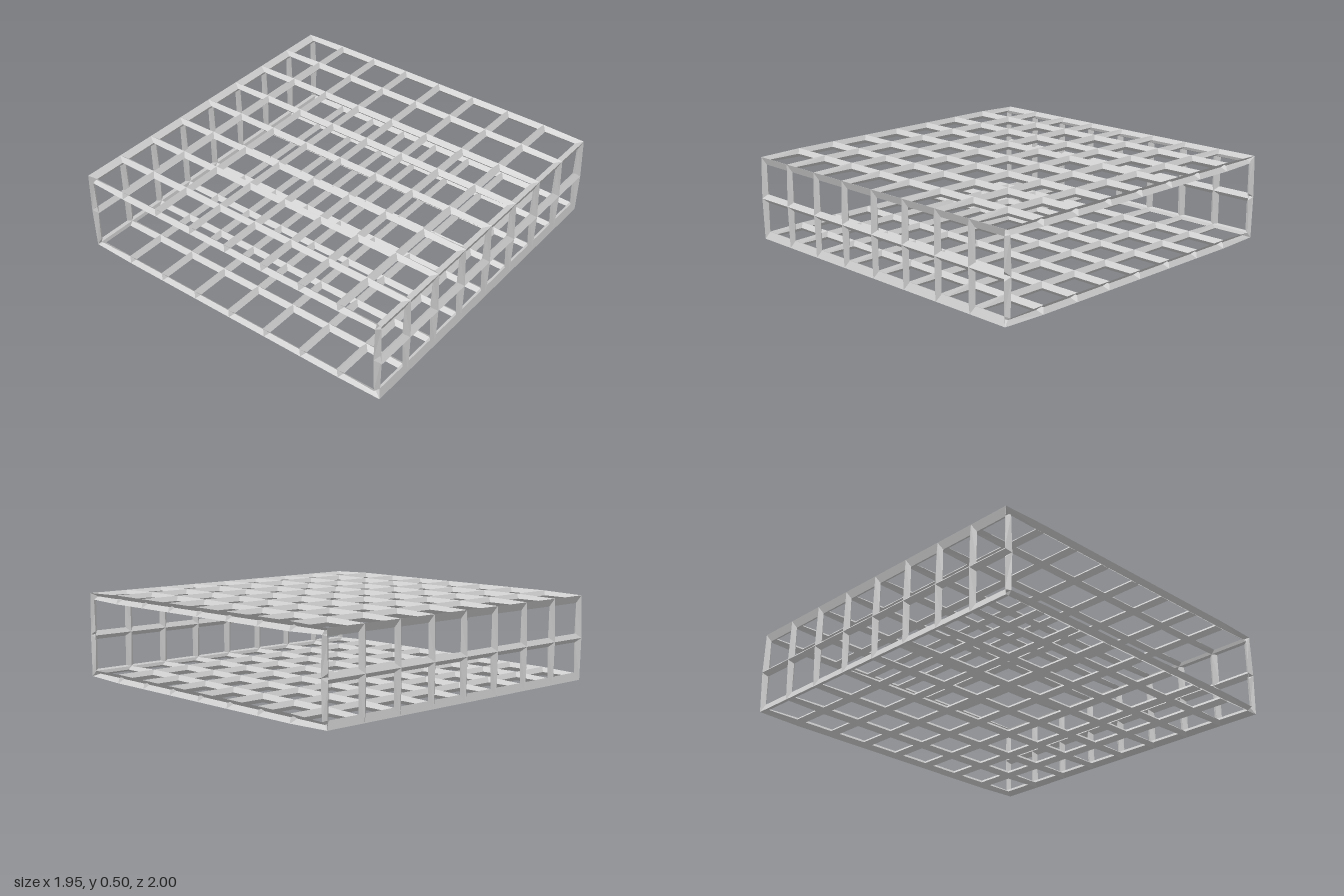
import * as THREE from 'three';

const X = 0.973, Z = 0.975;      // half width and half depth of the lattice sleeve
const MID = 0.248, H = 0.223;    // centre height and half height
const T = 0.025;                 // half thickness of a bar
const COLS = 8;

// The bars are hollow and open at the two x ends, so both sides show
const material = new THREE.MeshStandardMaterial({
  color: 0xcccccc, flatShading: true, side: THREE.DoubleSide,
});

// One flat lattice panel of diamond-section bars, running from start to end,
// mitred to its neighbours along the long edges and open at the two x ends.
function latticePanel(name, start, end, rows) {
  const across = new THREE.Vector3(1, 0, 0);
  const along = end.clone().sub(start).normalize();
  const normal = across.clone().cross(along);
  const positions = [];

  const node = (c, r) => start.clone().lerp(end, r / rows).setX(-X + (2 * X * c) / COLS);
  const ridge = (c, r, sign) => {
    const n = normal.clone();
    if (r === 0) n.sub(along);
    if (r === rows) n.add(along);
    return node(c, r).addScaledVector(n.normalize(), sign * T);
  };
  const quad = (a, b, c, d) => [a, b, c, a, c, d].forEach(p => positions.push(p.x, p.y, p.z));

  for (let c = 0; c < COLS; c++) {
    for (let r = 0; r < rows; r++) {
      // Corners of one opening, counter-clockwise seen from outside
      const corners = [[0, 0], [1, 0], [1, 1], [0, 1]].map(([u, v]) => ({
        outer: ridge(c + u, r + v, 1),
        inner: ridge(c + u, r + v, -1),
        inset: node(c + u, r + v)
          .addScaledVector(across, u ? -T : T)
          .addScaledVector(along, v ? -T : T),
      }));
      // Each side of the opening is bevelled outwards and inwards
      corners.forEach((a, i) => {
        const b = corners[(i + 1) % 4];
        quad(a.outer, b.outer, b.inset, a.inset);
        quad(b.inner, a.inner, a.inset, b.inset);
      });
    }
  }

  const geometry = new THREE.BufferGeometry();
  geometry.setAttribute('position', new THREE.Float32BufferAttribute(positions, 3));
  geometry.computeVertexNormals();
  const mesh = new THREE.Mesh(geometry, material);
  mesh.name = name;
  return mesh;
}

export function createModel() {
  const group = new THREE.Group();
  group.name = 'latticeFrame';

  const corner = (sy, sz) => new THREE.Vector3(0, MID + sy * H, sz * Z);
  const topFront = corner(1, 1), topBack = corner(1, -1);
  const bottomFront = corner(-1, 1), bottomBack = corner(-1, -1);

  // Four panels form a sleeve around the x axis
  group.add(
    latticePanel('topLattice', topFront, topBack, 8),
    latticePanel('backLattice', topBack, bottomBack, 2),
    latticePanel('bottomLattice', bottomBack, bottomFront, 8),
    latticePanel('frontLattice', bottomFront, topFront, 2),
  );
  return group;
}
